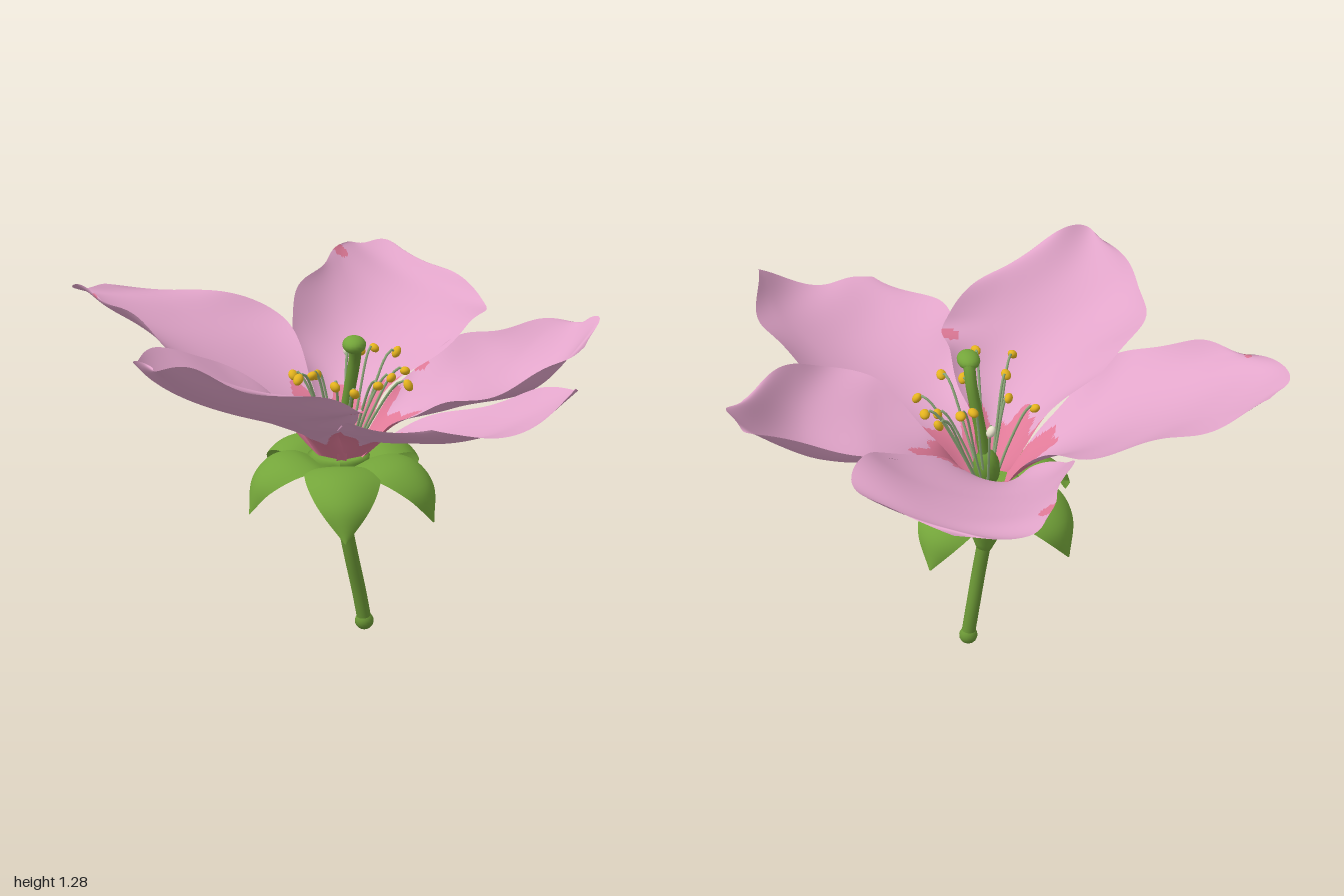
import * as THREE from 'three';

const V = (x, y, z) => new THREE.Vector3(x, y, z);
const mat = (name, color, side = THREE.FrontSide) => {
  const m = new THREE.MeshStandardMaterial({ color, side });
  m.name = name;
  return m;
};

// Centre of the blossom, where all petals meet
const HEART = V(0.02, 0.71, 0.07);

// Each petal: left edge, midline and right edge, from the claw to the tip
const backPetal = {
  left: [[-0.08, 0.89, -0.16], [-0.15, 1.07, -0.40], [-0.04, 1.2, -0.68], [0.09, 1.23, -0.93]],
  mid: [[0.05, 0.87, -0.18], [0.14, 0.98, -0.42], [0.23, 1.1, -0.7], [0.21, 1.23, -1.0]],
  right: [[0.2, 0.91, -0.06], [0.5, 1.08, -0.22], [0.58, 1.13, -0.5], [0.36, 1.19, -0.88]],
  spot: [0.06, -0.86],
};
const rightBackPetal = {
  left: [[-0.24, 0.9, 0.14], [-0.48, 1.07, 0.2], [-0.7, 1.2, 0.02], [-0.87, 1.25, -0.18]],
  mid: [[-0.18, 0.85, -0.02], [-0.4, 0.99, -0.1], [-0.65, 1.12, -0.2], [-0.94, 1.23, -0.32]],
  right: [[-0.08, 0.9, -0.13], [-0.18, 1.09, -0.42], [-0.48, 1.16, -0.5], [-0.83, 1.2, -0.43]],
  spot: [-0.87, -0.15],
};
const rightFrontPetal = {
  left: [[-0.2, 0.91, 0.1], [-0.42, 1.08, 0.12], [-0.6, 1.15, 0.25], [-0.68, 1.2, 0.52], [-0.61, 1.25, 0.79]],
  mid: [[-0.1, 0.83, 0.25], [-0.25, 0.95, 0.42], [-0.42, 1.06, 0.6], [-0.53, 1.27, 0.86]],
  right: [[0.03, 0.87, 0.27], [0.06, 1.0, 0.5], [0.02, 1.08, 0.66], [-0.3, 1.19, 0.82]],
  spot: [0.03, 0.58],
};
const leftFrontPetal = {
  left: [[0.0, 0.85, 0.27], [-0.01, 0.96, 0.52], [0.0, 1.04, 0.74], [0.24, 1.1, 0.97]],
  mid: [[0.12, 0.82, 0.27], [0.24, 0.89, 0.47], [0.38, 0.98, 0.72], [0.46, 1.09, 1.0]],
  right: [[0.22, 0.84, 0.19], [0.5, 0.98, 0.34], [0.71, 1.12, 0.62], [0.7, 1.2, 0.93]],
};
const leftPetal = {
  left: [[0.2, 0.88, -0.06], [0.38, 1.01, -0.19], [0.62, 1.1, -0.18], [0.87, 1.14, -0.08]],
  mid: [[0.22, 0.83, 0.06], [0.42, 0.91, 0.08], [0.68, 0.96, 0.07], [0.93, 1.17, 0.0]],
  right: [[0.2, 0.86, 0.18], [0.36, 0.99, 0.4], [0.62, 1.08, 0.42], [0.87, 1.13, 0.17]],
  spot: [0.32, -0.165],
};

// Smooth sheet from a rule point(u, v); isSecond picks triangles for the second material
function sheet(nu, nv, point, isSecond = () => false) {
  const pos = [], faces = [[], []], pts = [];
  for (let i = 0; i <= nu; i++)
    for (let j = 0; j <= nv; j++) {
      const p = point(i / nu, (j / nv) * 2 - 1);
      pts.push(p);
      pos.push(p.x, p.y, p.z);
    }
  const add = (...t) => {
    const c = V(0, 0, 0);
    t.forEach((k) => c.addScaledVector(pts[k], 1 / 3));
    faces[isSecond(c) ? 1 : 0].push(...t);
  };
  for (let i = 0; i < nu; i++)
    for (let j = 0; j < nv; j++) {
      const a = i * (nv + 1) + j, b = a + nv + 1;
      add(a, a + 1, b);
      add(b, a + 1, b + 1);
    }
  const g = new THREE.BufferGeometry();
  g.setAttribute('position', new THREE.Float32BufferAttribute(pos, 3));
  g.setIndex([...faces[0], ...faces[1]]);
  g.addGroup(0, faces[0].length, 0);
  g.addGroup(faces[0].length, faces[1].length, 1);
  g.computeVertexNormals();
  return g;
}

function petalGeometry(p, seed) {
  const out = V(...p.mid[0]).sub(HEART).setY(0).normalize();
  const side = V(-out.z, 0, out.x);
  // which way the left edge lies from the midline
  const turn = Math.sign(V(...p.left[0]).sub(HEART).dot(side));
  const curve = (pts, s) => new THREE.CatmullRomCurve3([
    HEART.clone().addScaledVector(out, 0.065).addScaledVector(side, s * turn * 0.058),
    ...pts.map((q) => V(...q)),
  ]);
  const L = curve(p.left, 1), M = curve(p.mid, 0), R = curve(p.right, -1);
  const point = (u, v) => {
    const q = L.getPoint(u).multiplyScalar((v * (v - 1)) / 2)
      .addScaledVector(M.getPoint(u), 1 - v * v)
      .addScaledVector(R.getPoint(u), (v * (v + 1)) / 2);
    // ruffled rim
    const rim = Math.max(Math.abs(v) ** 3, u ** 6) * Math.min(1, u * 2);
    q.y += 0.012 * rim * Math.sin(u * 19 + v * 4 + seed * 2);
    q.addScaledVector(side, 0.01 * rim * v * Math.sin(u * 22 + seed));
    q.addScaledVector(out, 0.01 * u ** 8 * (Math.sin(v * 5 + seed) - 1));
    return q;
  };
  // jagged blush around the heart and a small spot on the rim
  const blush = (c) => {
    const x = c.x - HEART.x, z = c.z - HEART.z, a = Math.atan2(z, x);
    if (Math.hypot(x, z) < 0.225 + 0.035 * Math.sin(a * 8 + 1) + 0.02 * Math.sin(a * 19)) return true;
    return !!p.spot && Math.hypot(c.x - p.spot[0], c.z - p.spot[1]) < 0.032;
  };
  return sheet(64, 44, point, blush);
}

export function createModel() {
  const model = new THREE.Group();
  model.name = 'flower';
  const pink = mat('petal pink', 0xe2a5ca, THREE.DoubleSide);
  const rose = mat('rose blush', 0xe07a98, THREE.DoubleSide);
  const leaf = mat('sepal green', 0x74a53a, THREE.DoubleSide);
  const green = mat('stem green', 0x6a9635);
  const pale = mat('filament green', 0x90ac7c);
  const yellow = mat('anther yellow', 0xe4b31e);
  const cream = mat('cream', 0xeee8d0);

  const add = (name, geo, material, parent = model) => {
    const m = new THREE.Mesh(geo, material);
    m.name = name;
    parent.add(m);
    return m;
  };
  const tube = (pts, r, n = 20, sides = 8) =>
    new THREE.TubeGeometry(new THREE.CatmullRomCurve3(pts), n, r, sides);
  const blob = (name, at, size, material, parent) => {
    const m = add(name, new THREE.SphereGeometry(1, 16, 12), material, parent);
    m.position.copy(at);
    m.scale.set(...size);
    return m;
  };

  // Petals
  Object.entries({ backPetal, rightBackPetal, rightFrontPetal, leftFrontPetal, leftPetal })
    .forEach(([name, p], i) => add(name, petalGeometry(p, i * 1.7), [pink, rose]));

  // Stem with a swollen foot
  add('stem', tube([V(0.108, 0.03, 0.03), V(0.085, 0.16, 0.04), V(0.055, 0.31, 0.06), V(0.028, 0.45, 0.068)], 0.026, 24, 16), green);
  blob('stemFoot', V(0.106, 0.034, 0.03), [0.035, 0.034, 0.034], green);

  // Calyx cup, leaning with the stem
  const cup = add('calyx', new THREE.LatheGeometry([[0, 0.4], [0.028, 0.405], [0.042, 0.44], [0.066, 0.5], [0.086, 0.56],
    [0.1, 0.63], [0.112, 0.7], [0.09, 0.708], [0, 0.7]].map(([r, y]) => new THREE.Vector2(r, y)), 32), leaf);
  const cp = cup.geometry.attributes.position;
  for (let i = 0; i < cp.count; i++) {
    const t = (cp.getY(i) - 0.4) / 0.3;
    cp.setX(i, cp.getX(i) + 0.032 - 0.024 * t);
    cp.setZ(i, cp.getZ(i) + 0.07 - 0.006 * t);
  }
  cup.geometry.computeVertexNormals();

  // Sepals arching out and down: heading in degrees from the front, and reach
  const arch = new THREE.CatmullRomCurve3([V(0, 0.69, 0.08), V(0, 0.722, 0.17), V(0, 0.71, 0.265), V(0, 0.645, 0.342), V(0, 0.53, 0.37)]);
  const width = new THREE.CatmullRomCurve3([V(0.1, 0, 0), V(0.128, 0.25, 0), V(0.126, 0.5, 0), V(0.085, 0.75, 0), V(0.003, 1, 0)]);
  const sepal = sheet(24, 12, (u, v) => {
    const p = arch.getPoint(u), w = width.getPoint(u).x;
    return V(v * w, p.y - 0.2 * w * v * v, p.z - 0.25 * w * v * v);
  });
  [[0, 1.12], [54, 1.06], [131, 1], [217, 0.98], [291, 0.94]].forEach(([heading, reach]) => {
    const s = add('sepal', sepal, leaf);
    s.position.set(0.012, 0, 0.065);
    s.rotation.y = THREE.MathUtils.degToRad(heading);
    s.scale.z = reach;
  });

  // Pistil with a bent, swollen tip
  const pistil = new THREE.Group();
  pistil.name = 'pistil';
  model.add(pistil);
  blob('ovary', V(0.02, 0.75, 0.08), [0.05, 0.08, 0.05], green, pistil);
  add('style', tube([V(0.02, 0.76, 0.08), V(0.04, 0.92, 0.09), V(0.062, 1.08, 0.12), V(0.06, 1.14, 0.16), V(0.055, 1.145, 0.2)], 0.021, 28, 12), green, pistil);
  blob('stigma', V(0.055, 1.145, 0.19), [0.041, 0.03, 0.054], leaf, pistil);

  // Stamens: x, z of each anther
  const anthers = [[0.05, -0.11], [0.09, -0.02], [0.14, -0.04], [0.22, -0.05], [0.24, 0.08], [0.19, 0.1], [0.24, 0.21],
    [0.13, 0.3], [-0.02, 0.39], [-0.14, 0.32], [-0.09, 0.22], [-0.07, 0.11], [-0.15, 0.05], [0.05, 0.3]];
  const stamens = new THREE.Group();
  stamens.name = 'stamens';
  model.add(stamens);
  anthers.forEach(([x, z], i) => {
    const y = 1.03 + 0.035 * Math.sin(i * 0.9);
    const dx = x - HEART.x, dz = z - HEART.z;
    const at = (k, h) => V(HEART.x + dx * k, h, HEART.z + dz * k);
    add('filament', tube([at(0.2, 0.72), at(0.45, 0.85), at(0.8, y - 0.01), at(0.92, y + 0.012), at(1, y)], 0.0048, 16, 6), pale, stamens);
    const a = blob('anther', at(1, y), [0.015, 0.022, 0.018], i === 0 ? cream : yellow, stamens);
    a.rotation.set(i, i * 2, 0.5);
  });
  return model;
}
